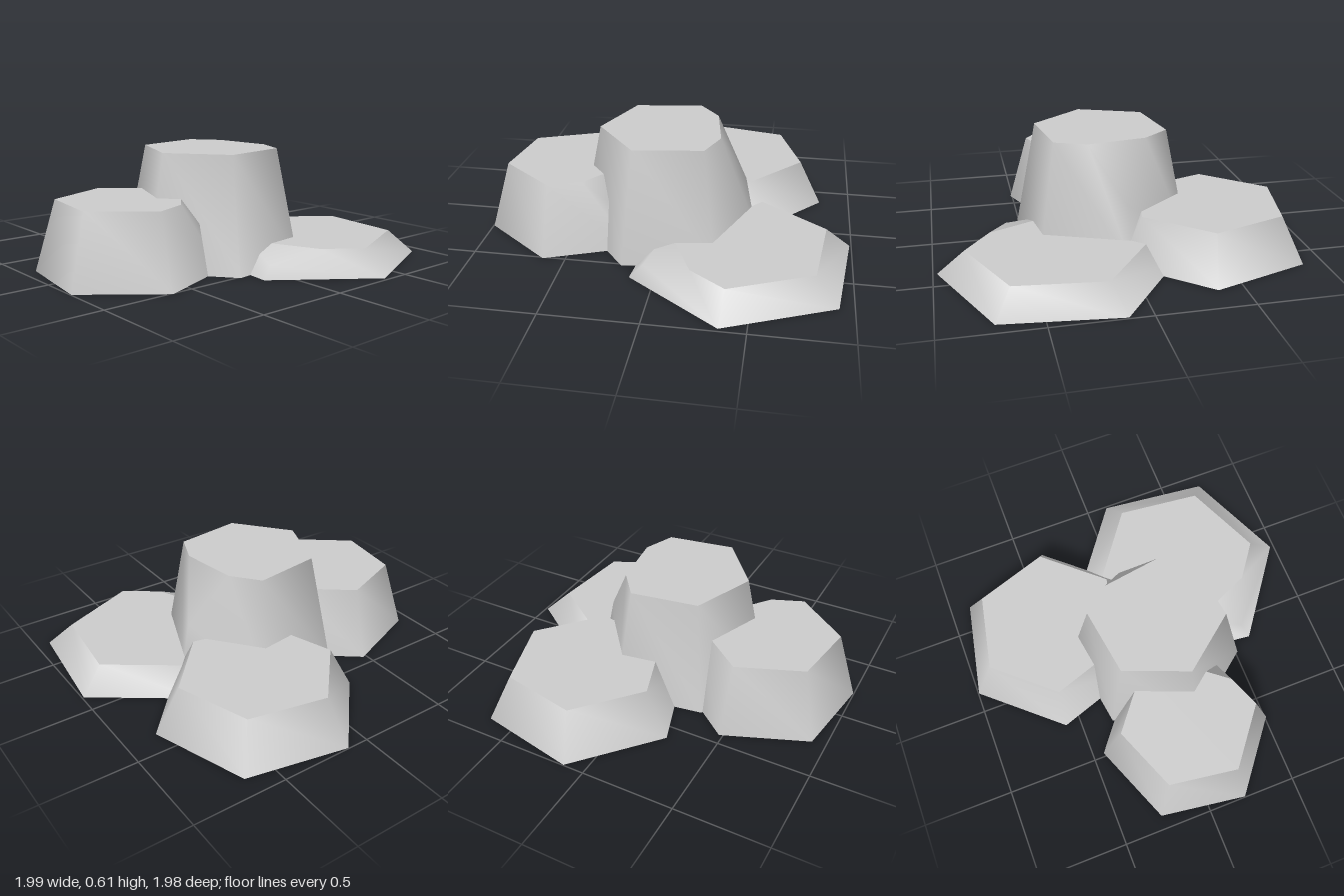
import * as THREE from 'three';

const SIDES = 6;
const material = new THREE.MeshStandardMaterial({ color: 0xcccccc });

// Tapered six-sided stone; `chip` is the index of a top corner cut off through the midpoints of its edges.
function stoneGeometry({ bottom, top, height, angle, chip = -1 }) {
  const corner = (i, r, y) => {
    const a = THREE.MathUtils.degToRad(angle + i * 360 / SIDES);
    return new THREE.Vector3(r * Math.cos(a), y, r * Math.sin(a));
  };
  const b = [], t = [];
  for (let i = 0; i < SIDES; i++) {
    b.push(corner(i, bottom, 0));
    t.push(corner(i, top, height));
  }

  const points = [], index = [];
  // Fan of triangles over a convex loop of points; `shared` reuses corners so that they shade smoothly.
  const addFace = (loop, shared) => {
    const ids = loop.map((p) => {
      const known = shared ? shared.get(p) : undefined;
      if (known !== undefined) return known;
      points.push(p);
      if (shared) shared.set(p, points.length - 1);
      return points.length - 1;
    });
    for (let k = 1; k < ids.length - 1; k++) index.push(ids[0], ids[k], ids[k + 1]);
  };

  // Points where the chip crosses the two top edges and the upright edge
  const has = chip >= 0;
  const mid = (p, q) => p.clone().lerp(q, 0.5);
  const before = has && mid(t[chip], t[(chip + SIDES - 1) % SIDES]);
  const after = has && mid(t[chip], t[(chip + 1) % SIDES]);
  const lower = has && mid(t[chip], b[chip]);

  // Sides and chip
  const smooth = new Map();
  const rim = [];
  for (let i = 0; i < SIDES; i++) {
    const j = (i + 1) % SIDES;
    const start = i === chip ? [lower, after] : [t[i]];
    const end = j === chip ? [before, lower] : [t[j]];
    addFace([b[i], ...start, ...end, b[j]], smooth);
    rim.push(...(i === chip ? [before, after] : [t[i]]));
  }
  if (has) addFace([lower, before, after], smooth);

  // Flat top and underside
  addFace(rim.reverse());
  addFace(b);

  const geometry = new THREE.BufferGeometry().setFromPoints(points);
  geometry.setIndex(index);
  geometry.computeVertexNormals();
  return geometry;
}

export function createModel() {
  const group = new THREE.Group();
  group.name = 'rockCluster';
  const stones = [
    { name: 'tallStone', x: -0.015, z: 0.058, bottom: 0.49, top: 0.366, height: 0.61, angle: -8.5, chip: 0 },
    { name: 'mediumStone', x: -0.55, z: 0.035, bottom: 0.48, top: 0.37, height: 0.38, angle: 38.4, chip: 0 },
    { name: 'backStone', x: 0.29, z: -0.475, bottom: 0.55, top: 0.42, height: 0.245, angle: 11.5 },
    { name: 'flatStone', x: 0.43, z: 0.37, bottom: 0.613, top: 0.468, height: 0.125, angle: 156.2, chip: 0 },
  ];
  for (const stone of stones) {
    const mesh = new THREE.Mesh(stoneGeometry(stone), material);
    mesh.name = stone.name;
    mesh.position.set(stone.x, 0, stone.z);
    group.add(mesh);
  }
  return group;
}
